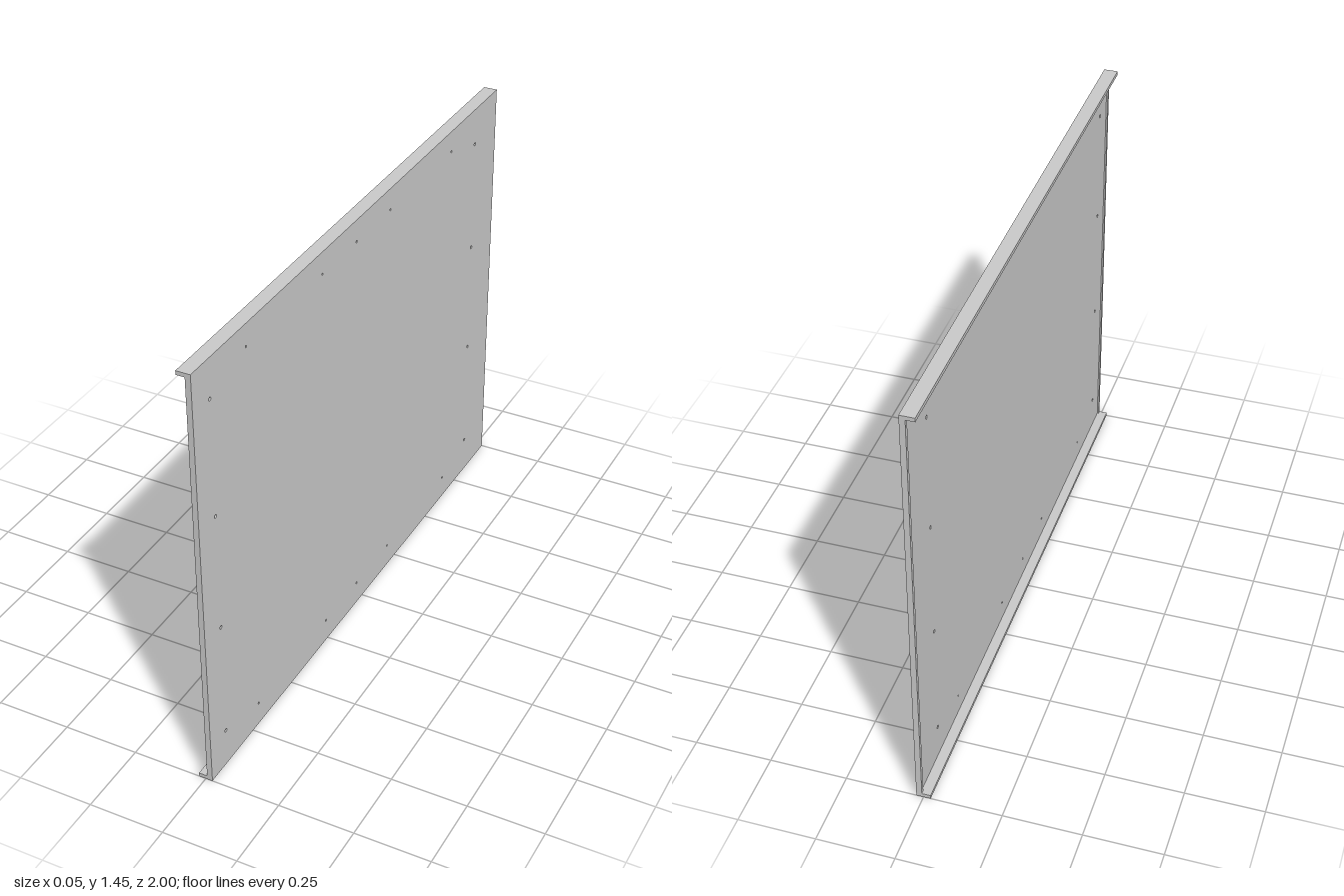
import * as THREE from 'three';

const HEIGHT = 1.448, LENGTH = 2, HALF_DEPTH = 0.023, FLANGE = 0.013, SHEET = 0.013;

export function createModel() {
  const group = new THREE.Group();
  const material = new THREE.MeshStandardMaterial({ color: 0xcccccc });

  const add = (name, geometry, x, y, z) => {
    const mesh = new THREE.Mesh(geometry, material);
    mesh.name = name;
    mesh.position.set(x, y, z);
    group.add(mesh);
    return mesh;
  };

  // Upright sheet between the flanges, drawn with u = -z and v = y
  const shape = new THREE.Shape();
  shape.moveTo(-LENGTH / 2, FLANGE);
  shape.lineTo(LENGTH / 2, FLANGE);
  shape.lineTo(LENGTH / 2, HEIGHT - FLANGE);
  shape.lineTo(-LENGTH / 2, HEIGHT - FLANGE);
  shape.closePath();

  const drill = (z, y, radius) => {
    const hole = new THREE.Path();
    hole.absarc(-z, y, radius, 0, Math.PI * 2, true);
    shape.holes.push(hole);
  };
  // Screw holes along the two upright edges
  for (const z of [0.91, -0.83])
    for (const y of [0.13, 0.53, 0.93, 1.32]) drill(z, y, 0.006);
  // Screw holes along the bottom and top edges
  for (const y of [0.08, 1.375])
    for (const z of [0.71, 0.26, 0.04, -0.19, -0.64]) drill(z, y, 0.004);

  const sheet = new THREE.ExtrudeGeometry(shape, { depth: SHEET, bevelEnabled: false, curveSegments: 8 });
  sheet.rotateY(Math.PI / 2);
  add('panel', sheet, HALF_DEPTH - SHEET, 0, 0);

  // Flanges along the bottom and top, turned towards -x
  const flange = new THREE.BoxGeometry(HALF_DEPTH * 2, FLANGE, LENGTH);
  add('bottomFlange', flange, 0, FLANGE / 2, 0);
  add('topFlange', flange, 0, HEIGHT - FLANGE / 2, 0);

  // Narrow lips on the inner face at both ends
  const lip = new THREE.BoxGeometry(0.005, HEIGHT - 2 * FLANGE, 0.013);
  add('frontLip', lip, 0.0075, HEIGHT / 2, LENGTH / 2 - 0.0065);
  add('backLip', lip, 0.0075, HEIGHT / 2, -LENGTH / 2 + 0.0065);

  return group;
}
